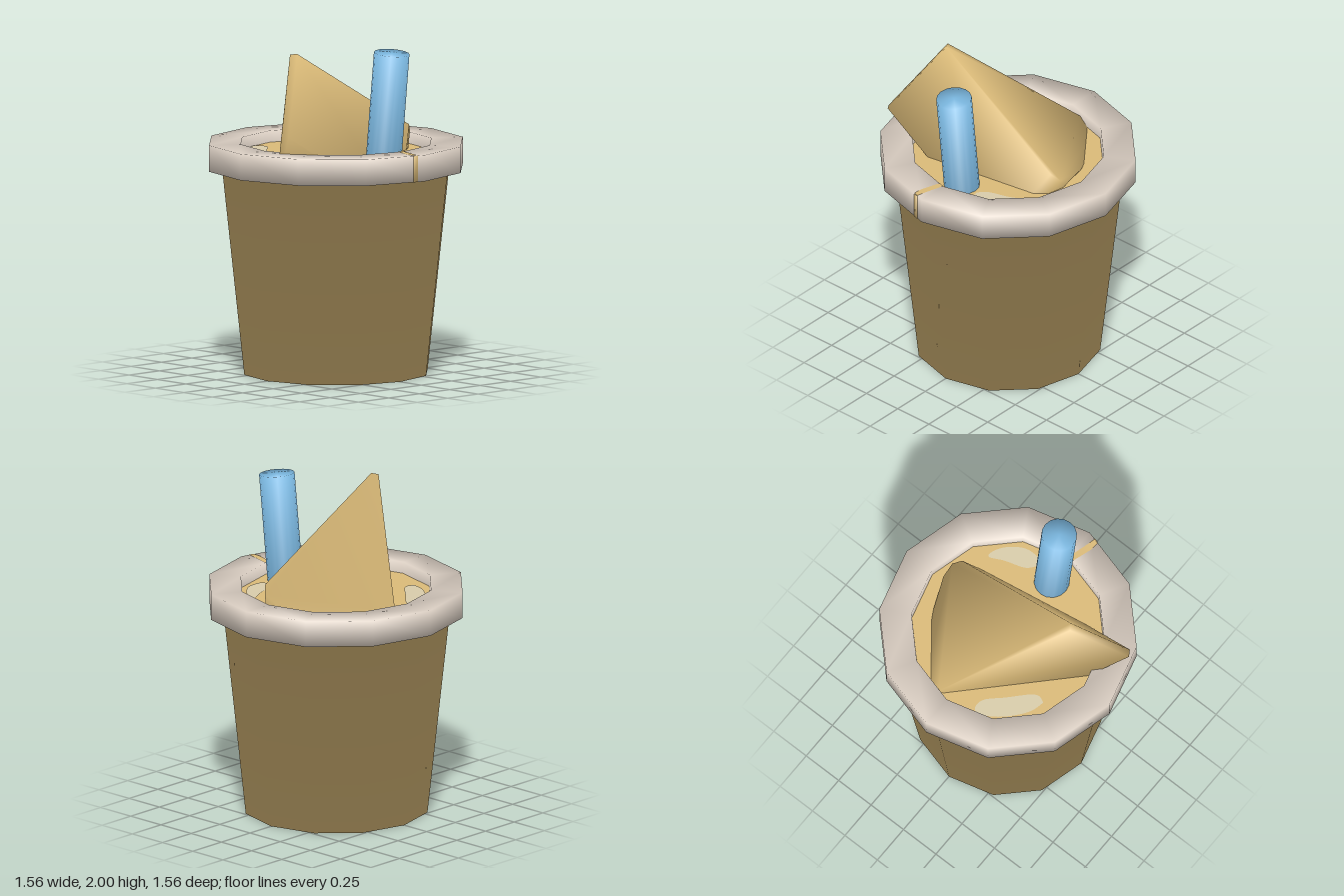
import * as THREE from 'three';

const SIDES = 12;
const LIQUID_Y = 1.33;

// Softly rounded look: at every corner, blend all touching faces weighted by their angle
function smooth(geometry) {
  const position = geometry.attributes.position;
  const index = geometry.index;
  const count = index ? index.count : position.count;
  const vertex = (i) => (index ? index.getX(i) : i);
  const point = (i) => new THREE.Vector3().fromBufferAttribute(position, i);
  const key = (p) => p.toArray().map((n) => Math.round(n * 1e4)).join();
  const sums = new Map();
  for (let i = 0; i < count; i += 3) {
    const corners = [0, 1, 2].map((k) => point(vertex(i + k)));
    const [a, b, c] = corners;
    const normal = b.clone().sub(a).cross(c.clone().sub(a));
    if (normal.length() < 1e-8) continue;
    normal.normalize();
    corners.forEach((p, k) => {
      const next = corners[(k + 1) % 3].clone().sub(p);
      const last = corners[(k + 2) % 3].clone().sub(p);
      const id = key(p);
      if (!sums.has(id)) sums.set(id, new THREE.Vector3());
      sums.get(id).addScaledVector(normal, next.angleTo(last));
    });
  }
  for (let i = 0; i < position.count; i++) {
    const n = sums.get(key(point(i))).clone().normalize();
    geometry.attributes.normal.setXYZ(i, n.x, n.y, n.z);
  }
  return geometry;
}

export function createModel() {
  const model = new THREE.Group();
  model.name = 'drinkCup';

  const material = (name, color) => {
    const m = new THREE.MeshStandardMaterial({ color });
    m.name = name;
    return m;
  };
  const tan = material('tan', 0xdaba78);
  const cream = material('cream', 0xddd1c5);
  const blue = material('strawBlue', 0x7ab6de);
  const pale = material('paleHighlight', 0xd8ccaa);

  const add = (name, geometry, mat, parent = model) => {
    const mesh = new THREE.Mesh(geometry, mat);
    mesh.name = name;
    parent.add(mesh);
    return mesh;
  };
  const vectors = (pairs) => pairs.map(([x, y]) => new THREE.Vector2(x, y));

  // Base, tapered wall and broad square rim turned as one soft body
  const profile = vectors([
    [0, 0], [0.565, 0], [0.7, 1.24], [0.782, 1.24], [0.782, 1.4], [0.587, 1.4], [0.582, 1.3],
  ]);
  const body = smooth(new THREE.LatheGeometry(profile, SIDES));
  const rows = profile.length - 1;
  for (let i = 0; i < SIDES; i++) {
    const start = i * rows * 6;
    body.addGroup(start, 6, 0); // base
    body.addGroup(start + 6, 6, 1); // wall
    body.addGroup(start + 12, (rows - 2) * 6, 0); // rim
  }
  add('cupAndRim', body, [cream, tan]);

  // Drink surface
  const drink = add('drinkSurface', new THREE.CircleGeometry(0.6, SIDES).rotateX(-Math.PI / 2), tan);
  drink.position.y = LIQUID_Y;

  // Flat plate lying on a horizontal surface, outlined in x and z
  const plate = (name, outline, y, mat, curved) => {
    const points = vectors(outline.map(([x, z]) => [x, -z]));
    const shape = new THREE.Shape();
    shape.moveTo(points[0].x, points[0].y);
    if (curved) shape.splineThru([...points.slice(1), points[0]]);
    else points.slice(1).forEach((p) => shape.lineTo(p.x, p.y));
    const geometry = new THREE.ShapeGeometry(shape, 4).rotateX(-Math.PI / 2);
    add(name, geometry, mat).position.y = y;
  };

  // Pale highlights on the drink
  plate('backHighlight', [
    [-0.45, -0.22], [-0.38, -0.21], [-0.25, -0.34], [-0.16, -0.43],
    [-0.15, -0.5], [-0.2, -0.52], [-0.32, -0.44], [-0.42, -0.32],
  ], LIQUID_Y + 0.005, pale, true);
  plate('frontHighlight', [
    [0.13, 0.43], [0.15, 0.48], [0.25, 0.48], [0.34, 0.42],
    [0.39, 0.35], [0.39, 0.3], [0.3, 0.34], [0.18, 0.38],
  ], LIQUID_Y + 0.005, pale, true);

  // Drip running over the rim
  plate('dripTop', [
    [-0.035, 0.578], [-0.075, 0.7], [-0.08, 0.758], [-0.05, 0.766], [-0.03, 0.69], [0, 0.587],
  ], 1.403, tan, false);
  const dripFront = new THREE.Group();
  dripFront.name = 'dripFront';
  dripFront.rotation.y = -Math.PI / SIDES;
  model.add(dripFront);
  const strip = add('dripStrip', smooth(new THREE.BoxGeometry(0.03, 0.16, 0.006)), tan, dripFront);
  strip.position.set(0.14, 1.32, 0.782 * Math.cos(Math.PI / SIDES));

  // Straw leaning forward, its foot deep in the drink
  const strawTop = new THREE.Vector3(0, 1.988, 0.49);
  const strawFoot = new THREE.Vector3(0, 0.6, 0.34);
  const strawAxis = strawTop.clone().sub(strawFoot);
  const straw = add('straw', smooth(new THREE.CylinderGeometry(0.107, 0.107, strawAxis.length(), 16)), blue);
  straw.position.copy(strawTop).add(strawFoot).multiplyScalar(0.5);
  straw.quaternion.setFromUnitVectors(new THREE.Vector3(0, 1, 0), strawAxis.normalize());

  // Tilted wedge: a rounded pie slice pushed down into the drink
  const thickness = 0.577;
  const sliceGeometry = new THREE.ExtrudeGeometry(new THREE.Shape(vectors([
    [0.015, -0.022], [1.03, -0.02], [1.09, 0.025], [1.105, 0.12], [1.055, 0.32],
    [0.985, 0.48], [0.875, 0.65], [0.8, 0.715], [0.715, 0.73], [-0.005, 0.018],
  ])), { depth: thickness, bevelEnabled: false });
  sliceGeometry.translate(0, 0, -thickness);
  const u = new THREE.Vector3(0.93, -0.54, 0.05).normalize();
  const w = new THREE.Vector3(0.27, 0.46, -0.22);
  w.addScaledVector(u, -w.dot(u)).normalize();
  const v = w.clone().cross(u);
  sliceGeometry.applyMatrix4(new THREE.Matrix4().makeBasis(u, v, w).setPosition(-0.425, 1.98, 0.075));
  add('wedgeSlice', smooth(sliceGeometry), tan);

  return model;
}
